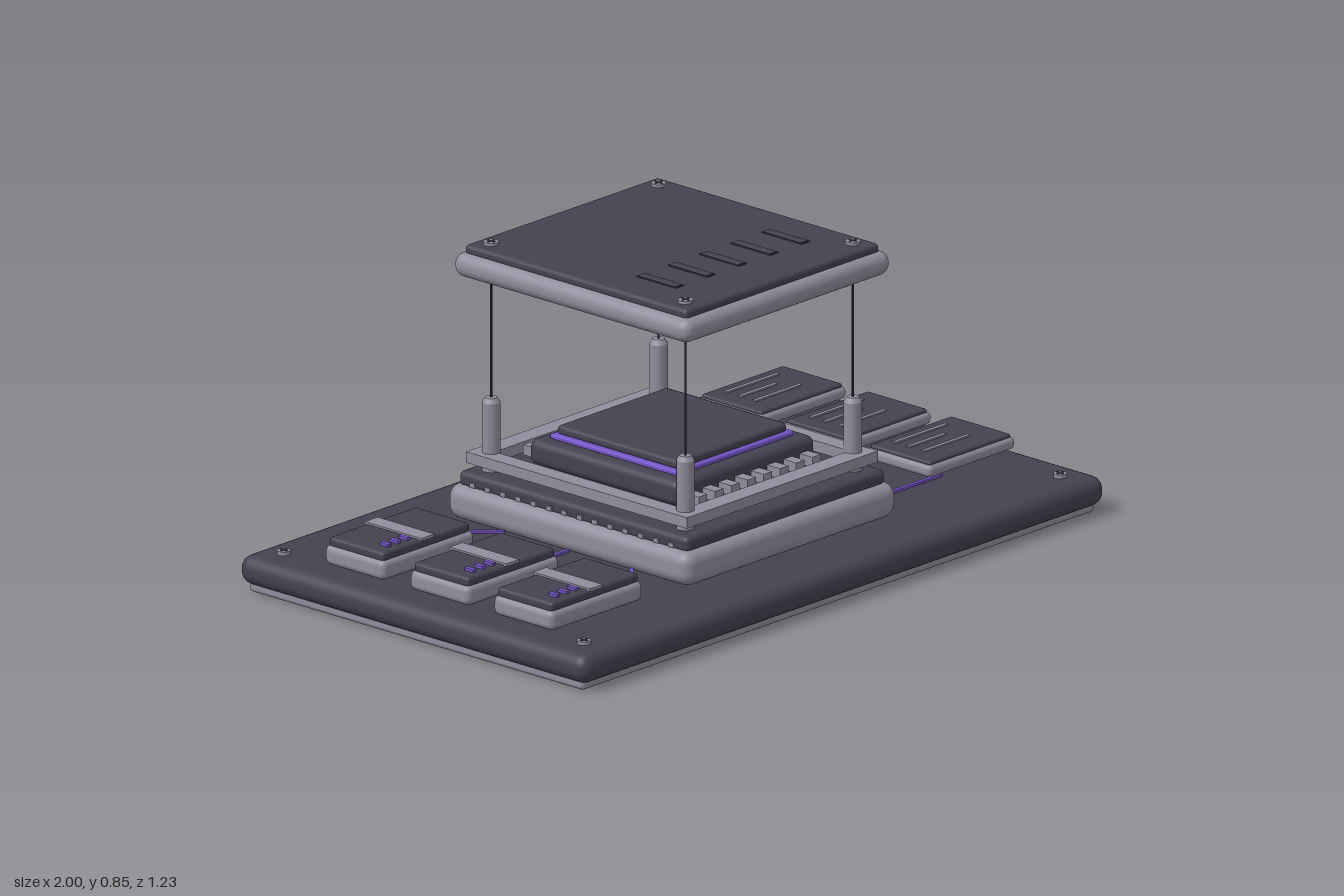
import * as THREE from 'three';
import { RoundedBoxGeometry } from 'three/addons/geometries/RoundedBoxGeometry.js';

const mat = (name, color) => {
  const m = new THREE.MeshStandardMaterial({ color });
  m.name = name;
  return m;
};

export function createModel() {
  const root = new THREE.Group();
  root.name = 'explodedProcessor';
  const dark = mat('charcoal', 0x444250);
  const light = mat('warmGrey', 0x918c9c);
  const purple = mat('violet', 0x7354c4);
  const black = mat('nearBlack', 0x24222c);

  const add = (parent, name, geo, material, x = 0, y = 0, z = 0) => {
    const m = new THREE.Mesh(geo, material);
    m.name = name;
    m.position.set(x, y, z);
    parent.add(m);
    return m;
  };
  // Rounded slab given by its half sizes and its bottom and top heights
  const slab = (parent, name, material, hx, hz, y0, y1, r, x = 0, z = 0) =>
    add(parent, name, new RoundedBoxGeometry(hx * 2, y1 - y0, hz * 2, 4, r), material, x, (y0 + y1) / 2, z);
  const box = (parent, name, material, w, h, d, x, y, z) =>
    add(parent, name, new THREE.BoxGeometry(w, h, d), material, x, y, z);
  const group = (name, x = 0, y = 0, z = 0) => {
    const g = new THREE.Group();
    g.name = name;
    g.position.set(x, y, z);
    root.add(g);
    return g;
  };
  const corners = (x, z, fn) => {
    for (const sx of [-1, 1]) for (const sz of [-1, 1]) fn(sx * x, sz * z);
  };
  const screw = (x, y, z, r) => {
    const g = group('screw', x, y, z);
    add(g, 'screwHead', new THREE.CylinderGeometry(r, r, 0.012, 20), light, 0, 0.004, 0);
    box(g, 'screwSlot', dark, r * 1.3, 0.002, 0.005, 0, 0.0105, 0);
    box(g, 'screwSlot', dark, 0.005, 0.002, r * 1.3, 0, 0.0105, 0);
  };

  // Base board
  slab(root, 'basePlate', light, 0.98, 0.59, 0, 0.035, 0.012);
  slab(root, 'baseBoard', dark, 1, 0.615, 0.02, 0.1, 0.036);
  corners(0.91, 0.53, (x, z) => screw(x, 0.1, z, 0.018));

  // Socket
  slab(root, 'socketBody', light, 0.405, 0.43, 0.095, 0.19, 0.036);
  slab(root, 'socketDeck', dark, 0.38, 0.405, 0.18, 0.225, 0.016);
  for (const s of [-1, 1]) for (let i = 0; i < 14; i++)
    box(root, 'socketPin', light, 0.014, 0.012, 0.018, s * 0.378, 0.196, -0.351 + i * 0.054);

  // Traces from the socket to the modules
  for (const s of [-1, 1]) for (const k of [-1, 0, 1]) {
    const pts = k ? [[0.7, 0.3], [0.47, 0.3], [0.4, 0.225]] : [[0.7, 0], [0.4, 0]];
    for (let i = 0; i + 1 < pts.length; i++) {
      const [ax, az] = [s * pts[i][0], (k || 1) * pts[i][1]];
      const [bx, bz] = [s * pts[i + 1][0], (k || 1) * pts[i + 1][1]];
      const t = box(root, 'trace', purple, Math.hypot(bx - ax, bz - az) + 0.005, 0.008, 0.011,
        (ax + bx) / 2, 0.103, (az + bz) / 2);
      t.rotation.y = -Math.atan2(bz - az, bx - ax);
    }
  }

  // Chip carrier frame
  const frame = new THREE.Shape();
  frame.moveTo(-0.365, -0.39).lineTo(0.365, -0.39).lineTo(0.365, 0.39).lineTo(-0.365, 0.39).closePath();
  const hole = new THREE.Path();
  hole.moveTo(-0.315, -0.335).lineTo(-0.315, 0.335).lineTo(0.315, 0.335).lineTo(0.315, -0.335).closePath();
  frame.holes.push(hole);
  const frameGeo = new THREE.ExtrudeGeometry(frame, { depth: 0.03, bevelEnabled: false });
  frameGeo.rotateX(-Math.PI / 2);
  add(root, 'carrierFrame', frameGeo, light, 0, 0.245, 0);

  // Corner posts with wires that carry the lid
  const postProfile = [[0, 0], [0.024, 0], [0.024, 0.19], [0.016, 0.203], [0, 0.203]]
    .map(([x, y]) => new THREE.Vector2(x, y));
  const postPoints = postProfile.flatMap((p, i) => (i > 0 && i < 4 ? [p, p.clone()] : [p]));
  const postGeo = new THREE.LatheGeometry(postPoints, 20);
  corners(0.32, 0.343, (x, z) => {
    add(root, 'cornerPost', postGeo, light, x, 0.222, z);
    add(root, 'wire', new THREE.CylinderGeometry(0.003, 0.003, 0.335, 8), black, x, 0.59, z);
  });

  // Chip stack
  slab(root, 'chipBody', dark, 0.265, 0.265, 0.245, 0.315, 0.022);
  slab(root, 'chipGlowLayer', purple, 0.225, 0.225, 0.313, 0.328, 0.006);
  slab(root, 'chipCap', dark, 0.21, 0.214, 0.325, 0.35, 0.01);
  for (const s of [-1, 1]) for (let i = 0; i < 8; i++)
    box(root, 'contactPad', light, 0.032, 0.028, 0.06, -0.217 + i * 0.062, 0.266, s * 0.28);

  // Lid
  slab(root, 'lidShell', light, 0.395, 0.417, 0.757, 0.823, 0.031);
  slab(root, 'lidTop', dark, 0.37, 0.393, 0.815, 0.844, 0.012);
  corners(0.32, 0.343, (x, z) => screw(x, 0.842, z, 0.02));
  for (let i = -2; i <= 2; i++) {
    slab(root, 'ventRim', black, 0.017, 0.071, 0.84, 0.846, 0.0025, i * 0.12, 0.18);
    slab(root, 'vent', dark, 0.012, 0.066, 0.842, 0.849, 0.003, i * 0.12, 0.18);
  }

  // Side modules
  for (const z of [-0.3, 0, 0.295]) {
    const port = group('portModule', -0.717, 0, z);
    slab(port, 'portBase', light, 0.176, 0.106, 0.095, 0.15, 0.018);
    slab(port, 'portTop', dark, 0.167, 0.097, 0.143, 0.171, 0.01);
    box(port, 'portStrap', light, 0.05, 0.008, 0.2, 0.0, 0.172, 0);
    for (let i = 0; i < 3; i++)
      box(port, 'indicator', purple, 0.014, 0.009, 0.03, -0.118 + i * 0.036, 0.174, 0.06);

    const panel = group('floatingPanel', 0.707, 0, z);
    slab(panel, 'panelBase', light, 0.165, 0.115, 0.157, 0.192, 0.015);
    slab(panel, 'panelTop', dark, 0.156, 0.106, 0.183, 0.2, 0.007);
    [[0.2, -0.065], [0.14, -0.015], [0.175, 0.037]].forEach(([w, dz]) =>
      box(panel, 'panelLine', light, w, 0.006, 0.011, -0.107 + w / 2, 0.201, dz));
  }
  return root;
}
